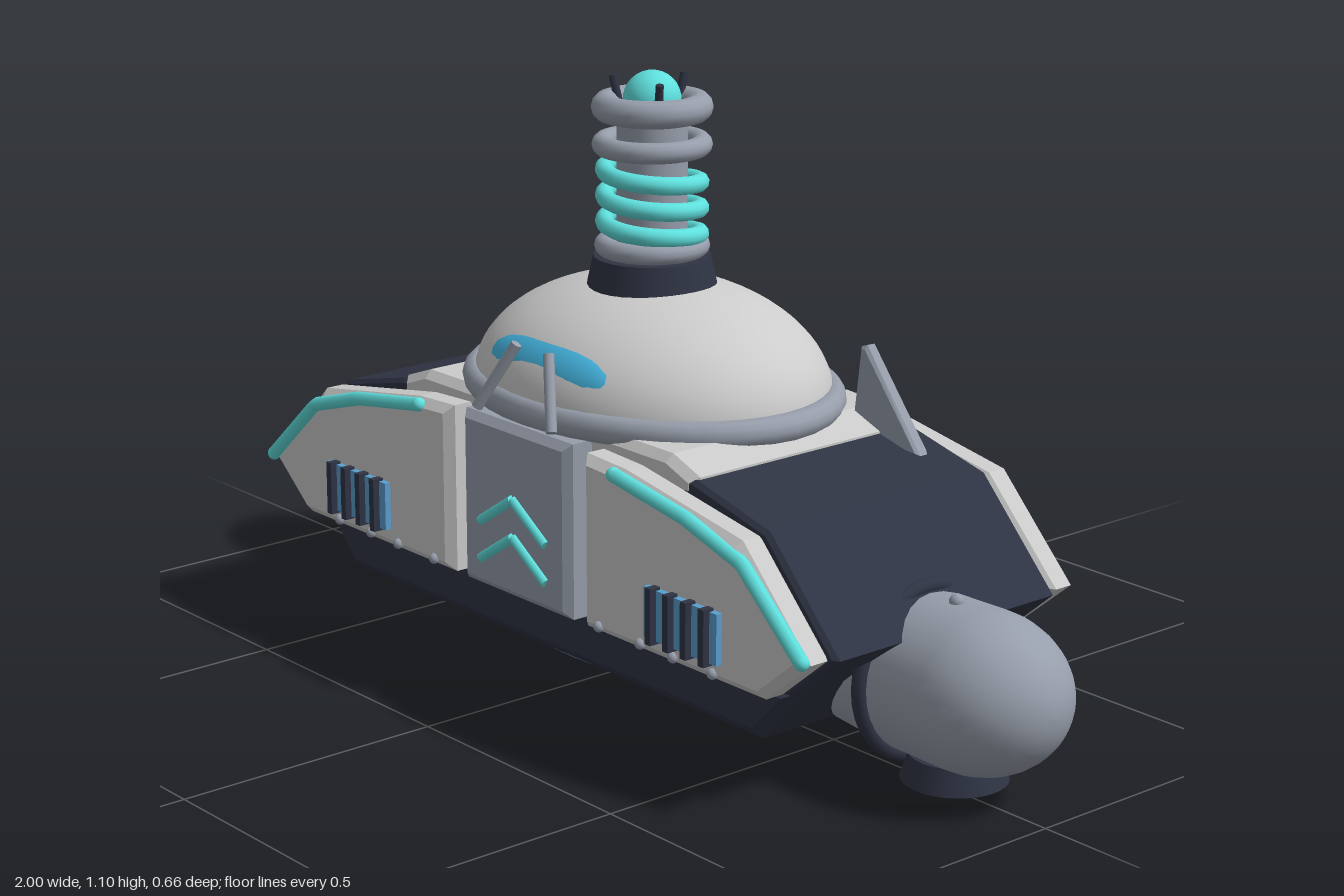
import * as THREE from 'three';

const mat = (color) => new THREE.MeshStandardMaterial({ color });
const light = mat(0xcccccc), grey = mat(0x979eab), dark = mat(0x2f3444);
const cyan = mat(0x5fe0de), blue = mat(0x46b8e4), glow = mat(0x5a9fd0);
const V = (x, y, z) => new THREE.Vector3(x, y, z);

export function createModel() {
  const root = new THREE.Group();
  root.name = 'hoverTank';
  const body = new THREE.Group();
  body.name = 'body';
  body.position.z = -0.012;
  root.add(body);

  const add = (name, geo, material, x = 0, y = 0, z = 0) => {
    const m = new THREE.Mesh(geo, material);
    m.name = name;
    m.position.set(x, y, z);
    body.add(m);
    return m;
  };

  // Bevelled slab from an outline in x/y, spanning z0..z1
  const slab = (name, pts, z0, z1, bevel, material) => {
    const shape = new THREE.Shape(pts.map(([x, y]) => new THREE.Vector2(x, y)));
    const geo = new THREE.ExtrudeGeometry(shape, {
      depth: z1 - z0 - 2 * bevel, bevelEnabled: true, bevelThickness: bevel,
      bevelSize: bevel, bevelOffset: -bevel, bevelSegments: 1,
    });
    return add(name, geo, material, 0, 0, z0 + bevel);
  };
  // Outline mirrored about x = 0, given from bottom to top on the +x side
  const mirrored = (half) => [...half, ...half.map(([x, y]) => [-x, y]).reverse()];
  // Straight rod between two points
  const rod = (name, a, b, r0, r1, material, sides = 8) => {
    const d = b.clone().sub(a);
    const m = add(name, new THREE.CylinderGeometry(r1, r0, d.length(), sides), material);
    m.position.copy(a).add(b).multiplyScalar(0.5);
    m.quaternion.setFromUnitVectors(V(0, 1, 0), d.normalize());
    return m;
  };
  const ball = (name, r, material, x, y, z) =>
    add(name, new THREE.SphereGeometry(r, 24, 16), material, x, y, z);
  const ring = (name, R, r, y, material) => {
    const m = add(name, new THREE.TorusGeometry(R, r, 12, 40), material, 0, y, 0);
    m.rotation.x = Math.PI / 2;
    return m;
  };

  // Hull, lower skirt and upper deck
  slab('hull', mirrored([[0.65, 0.18], [0.76, 0.275], [0.59, 0.452], [0.41, 0.495]]), -0.255, 0.255, 0.008, dark);
  slab('skirt', mirrored([[0.575, 0.085], [0.66, 0.19]]), -0.262, 0.262, 0.02, dark);
  slab('deck', mirrored([[0.41, 0.46], [0.41, 0.499], [0.34, 0.525]]), -0.256, 0.256, 0.015, light);

  // Glowing oval under the hull
  const lift = add('liftDisc', new THREE.CylinderGeometry(0.42, 0.40, 0.035, 48), glow, 0, 0.07, 0);
  lift.scale.z = 0.475;

  // Armour panels on front and back
  for (const f of [1, -1]) {
    const [z0, z1] = f > 0 ? [0.25, 0.318] : [-0.318, -0.25];
    slab('centrePanel', mirrored([[0.15, 0.19], [0.15, 0.508]]), z0, z1, 0.014, grey);
    for (const s of [1, -1]) {
      const pts = [[0.187, 0.19], [0.645, 0.19], [0.75, 0.278], [0.585, 0.447], [0.29, 0.497], [0.187, 0.502]];
      slab('armourPanel', s > 0 ? pts : pts.map(([x, y]) => [-x, y]).reverse(), z0, z1, 0.016, light);
    }
  }

  // Chevrons on the front centre panel
  for (const y of [0.375, 0.305]) for (const s of [1, -1]) {
    rod('chevron', V(0, y, 0.32), V(s * 0.092, y - 0.06, 0.32), 0.009, 0.009, cyan);
  }

  for (const s of [1, -1]) {
    // Light strip along the panel edge
    const path = new THREE.CurvePath();
    const pts = [[0.275, 0.487], [0.46, 0.457], [0.6, 0.415], [0.745, 0.285]].map(([x, y]) => V(s * x, y, 0.318));
    for (let i = 0; i < 3; i++) path.add(new THREE.LineCurve3(pts[i], pts[i + 1]));
    add('lightStrip', new THREE.TubeGeometry(path, 48, 0.013, 8), cyan);
    for (const p of [pts[0], pts[3]]) ball('stripEnd', 0.013, cyan, p.x, p.y, p.z);

    // Vent with bars
    add('vent', new THREE.BoxGeometry(0.185, 0.09, 0.02), glow, s * 0.46, 0.272, 0.32);
    for (let i = 0; i < 4; i++) {
      add('ventBar', new THREE.BoxGeometry(0.014, 0.1, 0.022), dark, s * (0.393 + i * 0.045), 0.272, 0.332);
    }
    for (const x of [0.235, 0.345, 0.43, 0.53]) ball('rivet', 0.01, grey, s * x, 0.205, 0.318);

    // Side pod: a flat inner end, a straight barrel and a round nose
    const profile = [[0, 0.545], [0.125, 0.545], [0.138, 0.7]];
    for (let i = 0; i <= 12; i++) {
      const a = (i / 12) * Math.PI / 2;
      profile.push([0.14 * Math.cos(a), 0.83 + 0.17 * Math.sin(a)]);
    }
    const podGeo = new THREE.LatheGeometry(profile.map(([r, y]) => new THREE.Vector2(Math.max(r, 0), y)), 32);
    const pod = add('sidePod', podGeo, grey, 0, 0.185, 0);
    pod.rotation.z = -s * Math.PI / 2;
    pod.scale.z = 1.04;
    const band = add('podBand', new THREE.TorusGeometry(0.146, 0.014, 10, 36), dark, s * 0.7, 0.185, 0);
    band.rotation.y = Math.PI / 2;
    ball('podStud', 0.013, grey, s * 0.775, 0.325, 0);
    add('podFoot', new THREE.CylinderGeometry(0.078, 0.092, 0.045, 32), dark, s * 0.78, 0.039, 0);
    const thruster = ball('podThruster', 0.075, glow, s * 0.78, 0.018, 0);
    thruster.scale.y = 0.24;

    // Rear fin
    const fin = [[0.335, 0.48], [0.505, 0.475], [0.37, 0.645], [0.355, 0.64]];
    slab('fin', s > 0 ? fin : fin.map(([x, y]) => [-x, y]).reverse(), -0.2, -0.172, 0.006, grey);

    // Canopy strut
    rod('canopyStrut', V(s * 0.105, 0.52, 0.315), V(s * 0.045, 0.64, 0.272), 0.01, 0.01, grey);
  }

  // Dome with its rim
  const dome = add('dome', new THREE.SphereGeometry(1, 48, 20, 0, Math.PI * 2, 0, Math.PI / 2), light, 0, 0.53, 0);
  dome.scale.set(0.36, 0.2, 0.292);
  const rim = ring('domeRim', 0.365, 0.026, 0.53, grey);
  rim.scale.set(1, 0.785, 1);
  const canopy = ball('canopy', 1, blue, 0, 0.592, 0.218);
  canopy.scale.set(0.178, 0.072, 0.052);
  canopy.rotation.x = -0.55;

  // Tower: collar, core, rings and coil
  add('collar', new THREE.CylinderGeometry(0.105, 0.118, 0.06, 32), dark, 0, 0.737, 0);
  add('towerCore', new THREE.CylinderGeometry(0.063, 0.063, 0.27, 24), grey, 0, 0.895, 0);
  ring('towerRing', 0.085, 0.018, 0.785, grey);
  ring('towerRing', 0.088, 0.019, 0.967, grey);
  const turns = 3;
  const coilPts = Array.from({ length: turns * 16 + 1 }, (_, i) => {
    const a = (i / 16) * Math.PI * 2;
    return V(0.085 * Math.sin(a), 0.8 + 0.14 * i / (turns * 16), -0.085 * Math.cos(a));
  });
  add('coil', new THREE.TubeGeometry(new THREE.CatmullRomCurve3(coilPts), 120, 0.0165, 10), cyan);

  // Tower head with a glowing ball and prongs
  ring('headRing', 0.083, 0.025, 1.034, grey);
  add('headPlate', new THREE.CylinderGeometry(0.075, 0.075, 0.025, 24), dark, 0, 1.03, 0);
  ball('headBall', 0.052, cyan, 0, 1.046, 0);
  for (let i = 0; i < 3; i++) {
    const a = Math.PI / 3 + i * Math.PI * 2 / 3;
    rod('prong', V(0.062 * Math.sin(a), 1.035, 0.062 * Math.cos(a)),
      V(0.074 * Math.sin(a), 1.085, 0.074 * Math.cos(a)), 0.008, 0.007, dark);
  }

  // Antenna
  rod('antenna', V(-0.238, 0.65, -0.128), V(-0.288, 0.855, -0.128), 0.008, 0.006, grey);
  ball('antennaTip', 0.017, cyan, -0.288, 0.857, -0.128);

  return root;
}
